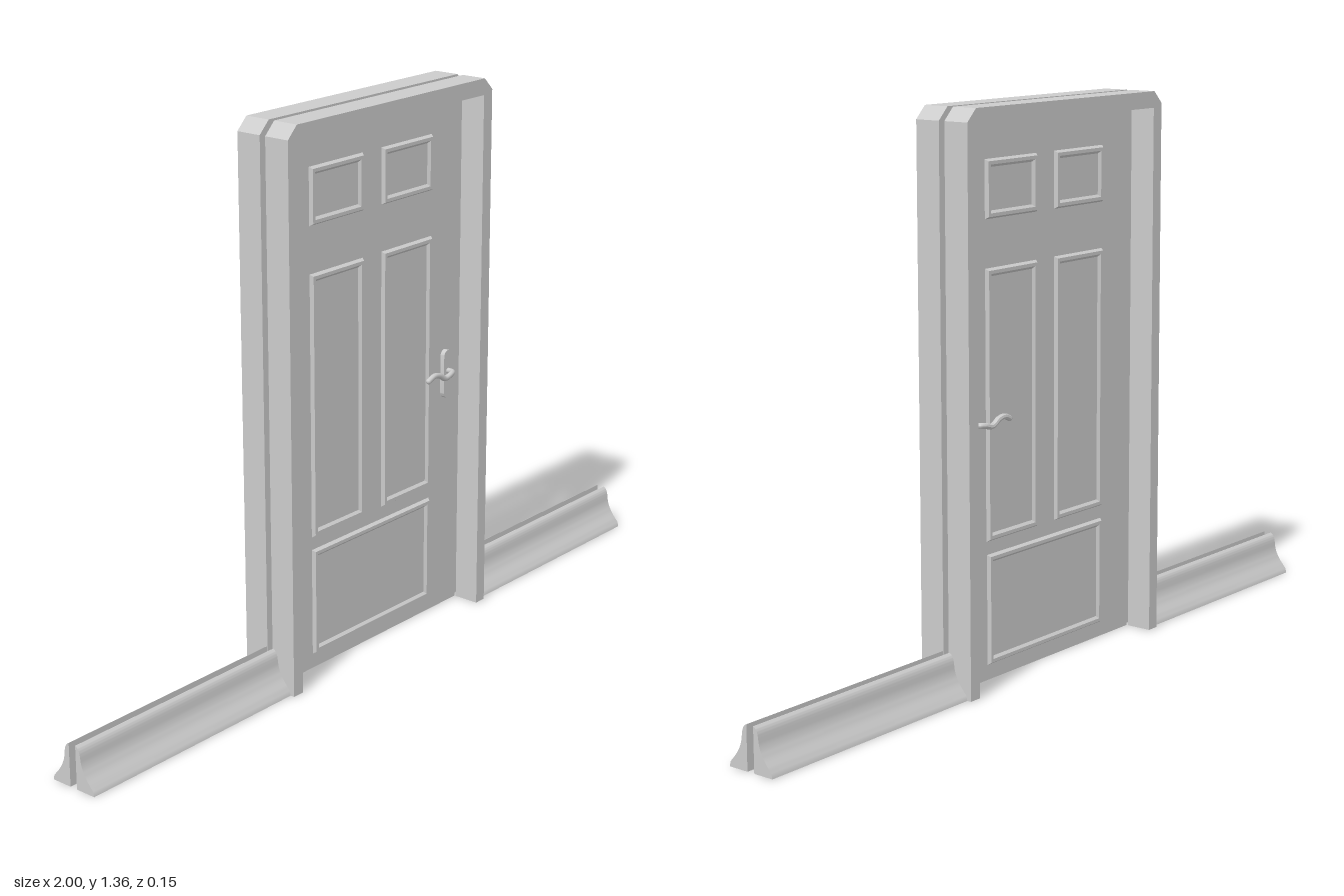
import * as THREE from 'three';
import { toCreasedNormals } from 'three/addons/utils/BufferGeometryUtils.js';

const material = new THREE.MeshStandardMaterial({ color: 0xcccccc });
const DOOR_Z = 0.004; // half thickness of the door leaf
const GAP = 0.008;    // half of the slot between the two casings

// Mirror a geometry across z = 0, keeping the faces outward
function mirrorZ(source) {
  const geo = source.index ? source.toNonIndexed() : source.clone();
  geo.scale(1, 1, -1);
  for (const attr of Object.values(geo.attributes)) {
    const n = attr.itemSize;
    for (let i = 0; i < attr.count; i += 3) {
      for (let k = 0; k < n; k++) {
        const a = (i + 1) * n + k, b = (i + 2) * n + k;
        [attr.array[a], attr.array[b]] = [attr.array[b], attr.array[a]];
      }
    }
  }
  return toCreasedNormals(geo, 0.6);
}

// Raised picture-frame moulding with a flat panel inside
function panelGeometry(x0, x1, y0, y1) {
  const profile = [[0, DOOR_Z], [0.005, 0.012], [0.013, 0.012], [0.019, 0.006]];
  const rings = profile.map(([d, z]) => [
    [x0 + d, y0 + d, z], [x1 - d, y0 + d, z], [x1 - d, y1 - d, z], [x0 + d, y1 - d, z],
  ]);
  const pos = [];
  const quad = (a, b, c, d) => pos.push(...a, ...b, ...c, ...a, ...c, ...d);
  for (let r = 0; r < rings.length - 1; r++) {
    for (let i = 0; i < 4; i++) {
      const j = (i + 1) % 4;
      quad(rings[r][i], rings[r][j], rings[r + 1][j], rings[r + 1][i]);
    }
  }
  quad(...rings[rings.length - 1]);
  const geo = new THREE.BufferGeometry();
  geo.setAttribute('position', new THREE.Float32BufferAttribute(pos, 3));
  geo.computeVertexNormals();
  return geo;
}

// Door casing: an upside-down U with clipped top corners
function casingGeometry() {
  const w = 0.367, h = 1.355, c = 0.03, iw = 0.335, ih = 1.315;
  const shape = new THREE.Shape([
    [-w, 0], [-iw, 0], [-iw, ih], [iw, ih], [iw, 0], [w, 0],
    [w, h - c], [w - c, h], [-w + c, h], [-w, h - c],
  ].map(([x, y]) => new THREE.Vector2(x, y)));
  return new THREE.ExtrudeGeometry(shape, { depth: 0.066, bevelEnabled: false })
    .translate(0, 0, GAP);
}

// Skirting board: curved profile in z and y, running from x = a to x = b
function skirtingGeometry(a, b) {
  const shape = new THREE.Shape();
  shape.moveTo(0.01, 0);
  shape.lineTo(0.063, 0);
  shape.lineTo(0.06, 0.012);
  shape.bezierCurveTo(0.042, 0.032, 0.026, 0.05, 0.024, 0.08);
  shape.quadraticCurveTo(0.022, 0.1, 0.01, 0.105);
  shape.closePath();
  const geo = new THREE.ExtrudeGeometry(shape, { depth: b - a, bevelEnabled: false, curveSegments: 10 });
  geo.rotateY(-Math.PI / 2).translate(b, 0, 0);
  return toCreasedNormals(geo, 0.6);
}

// Handle plate with rounded ends
function plateGeometry() {
  const r = 0.015, s = 0.047;
  const shape = new THREE.Shape();
  shape.absarc(0, s, r, 0, Math.PI);
  shape.absarc(0, -s, r, Math.PI, Math.PI * 2);
  shape.closePath();
  const geo = new THREE.ExtrudeGeometry(shape, { depth: 0.012, bevelEnabled: false, curveSegments: 8 });
  return toCreasedNormals(geo.translate(0.281, 0.618, DOOR_Z), 0.6);
}

// Wavy lever that leaves the plate and turns towards the middle of the door
function leverGeometry() {
  const path = new THREE.CatmullRomCurve3([
    [0.281, 0.627, 0.012], [0.28, 0.627, 0.03], [0.268, 0.626, 0.037], [0.242, 0.621, 0.038],
    [0.218, 0.634, 0.038], [0.198, 0.637, 0.038], [0.178, 0.629, 0.037],
  ].map((p) => new THREE.Vector3(...p)));
  return new THREE.TubeGeometry(path, 30, 0.007, 8);
}

// Closed tip of the lever
function leverTipGeometry() {
  return new THREE.SphereGeometry(0.007, 8, 6).translate(0.178, 0.629, 0.037);
}

export function createModel() {
  const model = new THREE.Group();
  model.name = 'panelledDoor';

  const add = (name, geo, parent) => {
    const mesh = new THREE.Mesh(geo, material);
    mesh.name = name;
    parent.add(mesh);
  };

  // Door leaf
  add('doorLeaf', new THREE.BoxGeometry(0.67, 1.315, DOOR_Z * 2).translate(0, 0.6575, 0), model);

  // Parts that appear on both faces of the door
  const parts = [
    ['casing', casingGeometry()],
    ['bottomPanel', panelGeometry(-0.22, 0.222, 0.037, 0.305)],
    ['leftSkirting', skirtingGeometry(0.367, 1)],
    ['rightSkirting', skirtingGeometry(-1, -0.367)],
    ['handlePlate', plateGeometry()],
    ['handleLever', leverGeometry()],
    ['handleLeverTip', leverTipGeometry()],
  ];
  for (const [side, x0, x1] of [['right', -0.22, -0.032], ['left', 0.036, 0.224]]) {
    parts.push([side + 'TallPanel', panelGeometry(x0, x1, 0.337, 0.98)]);
    parts.push([side + 'SmallPanel', panelGeometry(x0, x1, 1.093, 1.23)]);
  }

  const front = new THREE.Group();
  const back = new THREE.Group();
  front.name = 'frontSide';
  back.name = 'backSide';
  for (const [name, geo] of parts) {
    add(name, geo, front);
    add(name, mirrorZ(geo), back);
  }
  model.add(front, back);
  return model;
}
